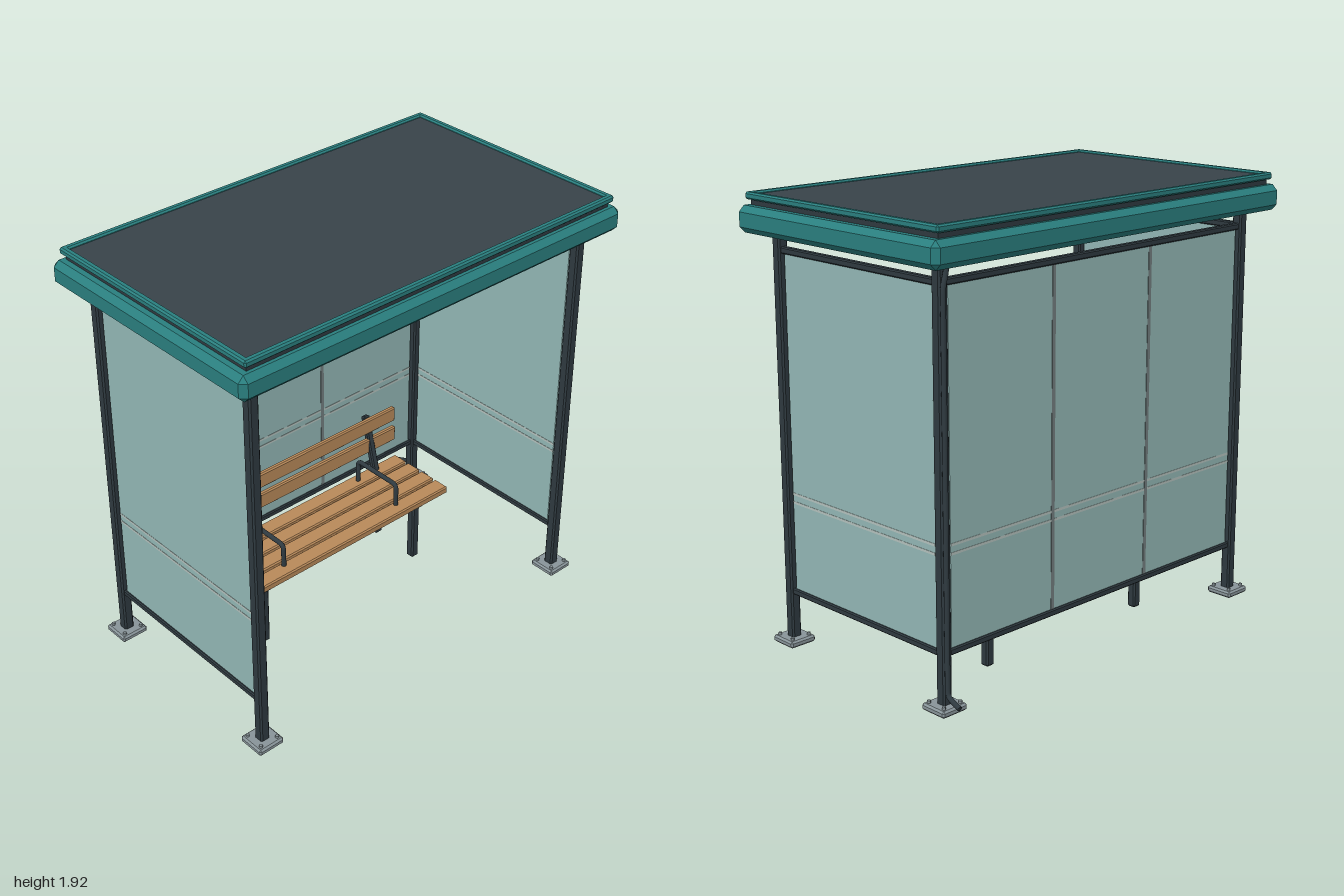
import * as THREE from 'three';
import { ConvexGeometry } from 'three/addons/geometries/ConvexGeometry.js';

const mat = (name, color) => {
  const m = new THREE.MeshStandardMaterial({ color });
  m.name = name;
  return m;
};

// Box with all edges chamfered by c
function chamferBox(w, h, d, c) {
  const pts = [];
  for (const sx of [-1, 1]) for (const sy of [-1, 1]) for (const sz of [-1, 1]) {
    const x = w / 2, y = h / 2, z = d / 2;
    pts.push(new THREE.Vector3(sx * x, sy * (y - c), sz * (z - c)));
    pts.push(new THREE.Vector3(sx * (x - c), sy * y, sz * (z - c)));
    pts.push(new THREE.Vector3(sx * (x - c), sy * (y - c), sz * z));
  }
  return new ConvexGeometry(pts);
}

export function createModel() {
  const teal = mat('tealPaint', 0x2a7f7f);
  const frame = mat('darkFrame', 0x2f3a40);
  const roofing = mat('roofing', 0x38434a);
  const glass = mat('glass', 0x93b8b6);
  const seal = mat('greySeal', 0x737f80);
  const frost = mat('frostedStrip', 0xb4c2be);
  const steel = mat('galvanisedSteel', 0x89959a);
  const wood = mat('wood', 0xb98a5a);
  const lamp = mat('lampDiffuser', 0xe6e8dc);

  const root = new THREE.Group();
  root.name = 'busShelter';
  const group = (name, parent = root) => {
    const g = new THREE.Group();
    g.name = name;
    parent.add(g);
    return g;
  };
  const add = (parent, name, geo, material, x = 0, y = 0, z = 0) => {
    const m = new THREE.Mesh(geo, material);
    m.name = name;
    m.position.set(x, y, z);
    parent.add(m);
    return m;
  };
  const box = (parent, name, material, w, h, d, x, y, z, c = 0) =>
    add(parent, name, c ? chamferBox(w, h, d, c) : new THREE.BoxGeometry(w, h, d), material, x, y, z);
  const tube = (parent, name, pts, r) => {
    const path = new THREE.CurvePath();
    const v = pts.map(p => new THREE.Vector3(...p));
    // Straight runs joined by short rounded bends
    let last = v[0];
    for (let i = 1; i < v.length - 1; i++) {
      const a = v[i].clone().add(v[i - 1].clone().sub(v[i]).setLength(0.025));
      const b = v[i].clone().add(v[i + 1].clone().sub(v[i]).setLength(0.025));
      path.add(new THREE.LineCurve3(last, a));
      path.add(new THREE.QuadraticBezierCurve3(a, v[i], b));
      last = b;
    }
    path.add(new THREE.LineCurve3(last, v[v.length - 1]));
    const g = group(name, parent);
    add(g, name + 'Run', new THREE.TubeGeometry(path, 80, r, 10), frame);
    // Closed ends
    [[v[0], v[1]], [v[v.length - 1], v[v.length - 2]]].forEach(([end, next]) => {
      const cap = add(g, name + 'Cap', new THREE.CircleGeometry(r, 10), frame, end.x, end.y, end.z);
      cap.quaternion.setFromUnitVectors(new THREE.Vector3(0, 0, 1), end.clone().sub(next).normalize());
    });
  };

  const PX = 0.875, PZ = 0.472;

  // Roof: fascia, dark recess, raised rim and top sheet
  const roof = group('roof');
  box(roof, 'fascia', teal, 2, 0.11, 1.18, 0, 1.818, 0, 0.025);
  box(roof, 'roofRecess', frame, 1.9, 0.04, 1.1, 0, 1.885, 0);
  box(roof, 'roofSheet', roofing, 1.89, 0.03, 1.09, 0, 1.9, 0);
  for (const s of [-1, 1]) {
    box(roof, 'rimLong', teal, 1.936, 0.03, 0.03, 0, 1.91, s * 0.553, 0.007);
    box(roof, 'rimShort', teal, 0.03, 0.03, 1.136, s * 0.953, 1.91, 0, 0.007);
    box(roof, 'lampStrip', lamp, 1.6, 0.016, 0.036, 0, 1.757, s * 0.322);
  }

  // Corner posts with bolted base plates
  for (const sx of [-1, 1]) for (const sz of [-1, 1]) {
    const post = group('cornerPost');
    post.position.set(sx * PX, 0, sz * PZ);
    box(post, 'post', frame, 0.046, 1.76, 0.046, 0, 0.89, 0, 0.007);
    box(post, 'basePlate', steel, 0.128, 0.03, 0.128, 0, 0.02, 0, 0.008);
    for (const bx of [-1, 1]) for (const bz of [-1, 1]) {
      add(post, 'bolt', new THREE.CylinderGeometry(0.008, 0.008, 0.012, 6), steel, bx * 0.043, 0.04, bz * 0.043);
    }
  }

  // Glazed walls, each built along its own x axis
  const wall = (name, length, panes) => {
    const g = group(name);
    for (const y of [0.242, 1.695]) box(g, 'rail', frame, length, 0.028, 0.03, 0, y, 0, 0.005);
    const span = length - 0.03, gap = 0.014;
    const w = (span - gap * (panes - 1)) / panes;
    for (let i = 0; i < panes; i++) {
      const x = -span / 2 + w / 2 + i * (w + gap);
      box(g, 'glassPane', glass, w, 1.43, 0.012, x, 0.968, 0);
      if (i) box(g, 'paneSeal', seal, 0.018, 1.43, 0.016, x - w / 2 - gap / 2, 0.968, 0);
    }
    for (const y of [0.639, 0.676]) box(g, 'frostedStrip', frost, span, 0.011, 0.0145, 0, y, 0);
    return g;
  };
  wall('backWall', 2 * PX - 0.04, 3).position.z = -PZ;
  for (const s of [-1, 1]) {
    const side = wall('sideWall', 2 * PZ - 0.04, 1);
    side.position.x = s * PX;
    side.rotation.y = Math.PI / 2;
  }

  // Downpipe behind the rear left post
  tube(root, 'downpipe', [[0.88, 1.78, -0.515], [0.88, 1.74, -0.515], [0.897, 1.69, -0.515],
    [0.897, 0.08, -0.515], [0.897, 0.053, -0.583]], 0.011);

  // Bench
  const bench = group('bench');
  for (let i = 0; i < 4; i++) box(bench, 'seatSlat', wood, 1.22, 0.036, 0.08, 0, 0.338, -i * 0.092, 0.006);
  for (const [y, z] of [[0.478, -0.328], [0.583, -0.333]]) {
    box(bench, 'backSlat', wood, 1.22, 0.076, 0.026, 0, y, z, 0.006);
  }
  for (const s of [-1, 1]) {
    const x = s * 0.455;
    for (const z of [-0.025, -0.275]) box(bench, 'benchLeg', frame, 0.042, 0.32, 0.042, x, 0.16, z, 0.007);
    box(bench, 'seatBearer', frame, 0.034, 0.022, 0.32, x, 0.31, -0.145);
    // Upright leans back, passing the slats
    const up = box(bench, 'backUpright', frame, 0.034, 0.33, 0.03, x, 0.463, -0.318, 0.006);
    up.rotation.x = -0.26;
    tube(bench, 'armrest', [[s * 0.335, 0.34, -0.02], [s * 0.335, 0.465, -0.02],
      [s * 0.335, 0.465, -0.275], [s * 0.335, 0.34, -0.275]], 0.011);
  }
  return root;
}
